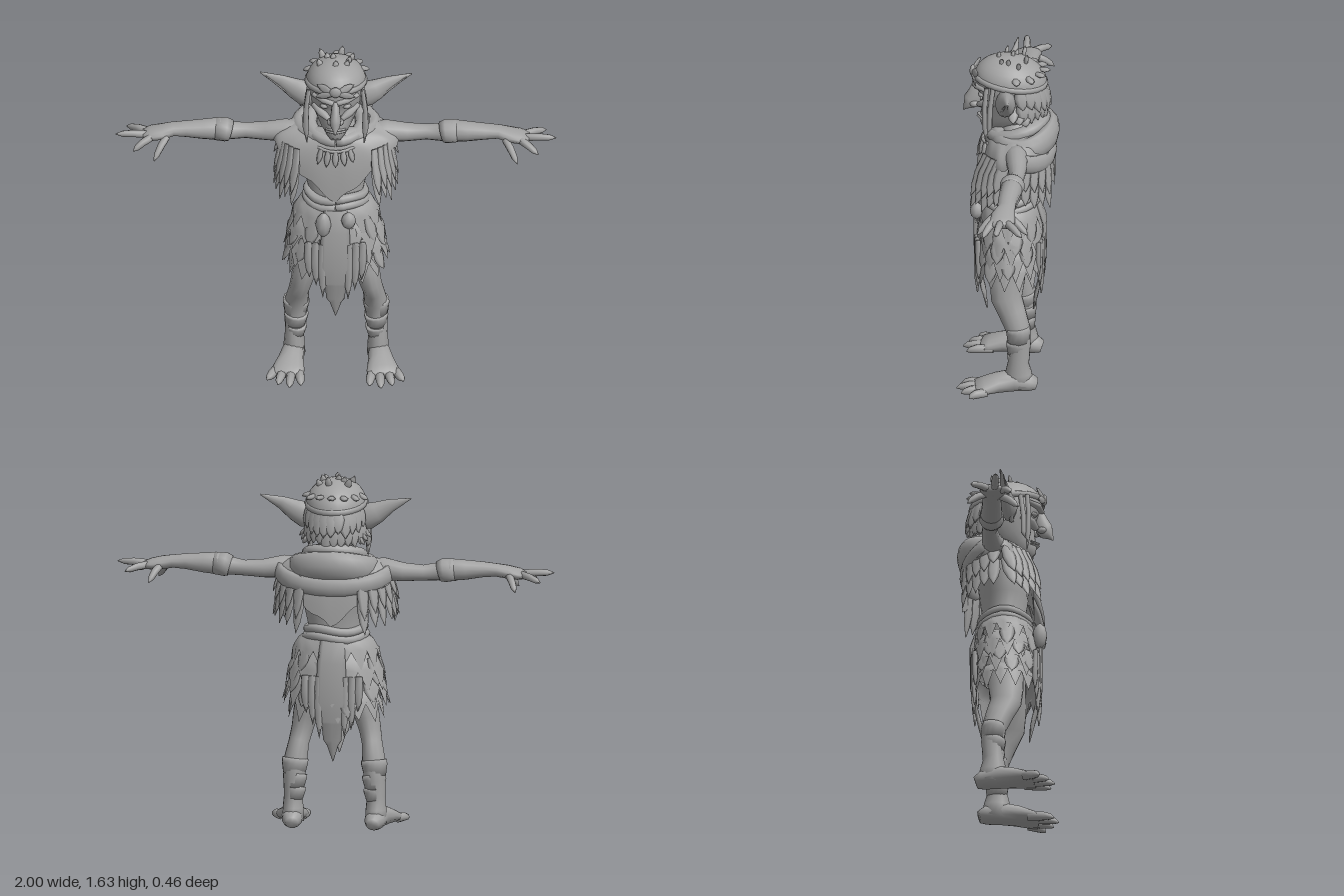
import * as THREE from 'three';
import { mergeGeometries } from 'three/addons/utils/BufferGeometryUtils.js';

const V = (x, y, z) => new THREE.Vector3(x, y, z);
const rnd = (i) => { const s = Math.sin(i * 12.9898 + 4.1) * 43758.5453; return s - Math.floor(s); };
const lerp = THREE.MathUtils.lerp;
const range = (n, f) => Array.from({ length: n }, (_, i) => f(i, n > 1 ? i / (n - 1) : 0));

function build(pos, idx) {
  const g = new THREE.BufferGeometry();
  g.setAttribute('position', new THREE.Float32BufferAttribute(pos, 3));
  g.setIndex(idx);
  g.computeVertexNormals();
  return g;
}

// Closed loft through [x, y, z, a, b]: a is the half width, b the half depth along the hint
function limb(pts, hint = V(0, 0, 1), seg = 14) {
  const P = pts.map((p) => V(p[0], p[1], p[2]));
  const pos = [], idx = [];
  const n = P.length;
  const ring = (i, k) => {
    const t = P[Math.min(i + 1, n - 1)].clone().sub(P[Math.max(i - 1, 0)]).normalize();
    const s = hint.clone().cross(t).normalize(), u = t.clone().cross(s);
    for (let j = 0; j < seg; j++) {
      const q = j / seg * Math.PI * 2;
      const v = P[i].clone().addScaledVector(s, Math.cos(q) * pts[i][3] * k).addScaledVector(u, Math.sin(q) * pts[i][4] * k);
      pos.push(v.x, v.y, v.z);
    }
  };
  ring(0, 0);
  for (let i = 0; i < n; i++) ring(i, 1);
  ring(n - 1, 0);
  for (let i = 0; i <= n; i++) for (let j = 0; j < seg; j++) {
    const a = i * seg + j, b = i * seg + (j + 1) % seg;
    idx.push(a, b, b + seg, a, b + seg, a + seg);
  }
  return build(pos, idx);
}

// Open cloth surface around the body: f(angle, v, column) gives a point
function drape(f, nu, nv) {
  const pos = [], idx = [];
  for (let i = 0; i <= nv; i++) for (let j = 0; j < nu; j++) pos.push(...f(j / nu * Math.PI * 2, i / nv, j));
  for (let i = 0; i < nv; i++) for (let j = 0; j < nu; j++) {
    const a = i * nu + j, b = i * nu + (j + 1) % nu;
    idx.push(a, a + nu, b + nu, a, b + nu, b);
  }
  return build(pos, idx);
}

// Flat pointed blade, used for feathers, hair, teeth and rags
function leaf(a, b, w, hint, thick = 0.006) {
  const at = (t, k) => [lerp(a[0], b[0], t), lerp(a[1], b[1], t), lerp(a[2], b[2], t), w * k, thick * Math.min(1, k + 0.2)];
  return limb([at(0, 0.7), at(0.45, 1), at(0.75, 0.7), at(1, 0.02)], hint, 6);
}
const ball = (x, y, z, rx, ry, rz) => limb([-0.95, -0.6, 0, 0.6, 0.95].map((k) => {
  const r = Math.sqrt(1 - k * k);
  return [x, y + k * ry, z, rx * r, rz * r];
}), V(0, 0, 1), 10);
// Closed band round a centre
const band = (f, seg = 8) => limb(range(27, (i) => f(i / 26 * Math.PI * 2)), V(0, 1, 0), seg);

export function createModel() {
  const model = new THREE.Group();
  const grey = new THREE.MeshStandardMaterial({ color: 0xa2a2a2, side: THREE.DoubleSide });
  grey.name = 'clay grey';
  const add = (name, ...geos) => {
    const m = new THREE.Mesh(mergeGeometries(geos.flat()), grey);
    m.name = name;
    model.add(m);
  };
  const both = (f) => [1, -1].flatMap(f);

  // Body
  add('torso', limb([[0, 0.7, 0, 0.14, 0.1], [0, 0.82, 0, 0.135, 0.105], [0, 0.93, -0.01, 0.125, 0.095], [0, 1.02, -0.01, 0.145, 0.11],
    [0, 1.13, -0.02, 0.175, 0.112], [0, 1.19, -0.03, 0.175, 0.095], [0, 1.235, -0.03, 0.12, 0.08], [0, 1.28, -0.01, 0.06, 0.065], [0, 1.36, 0, 0.055, 0.06]], V(0, 0, 1), 24));

  // Head and face
  add('head', limb([[0, 1.25, 0.115, 0.022, 0.025], [0, 1.268, 0.1, 0.04, 0.05], [0, 1.3, 0.072, 0.065, 0.077], [0, 1.34, 0.035, 0.09, 0.115], [0, 1.39, 0.01, 0.112, 0.143],
    [0, 1.44, 0, 0.12, 0.152], [0, 1.5, 0, 0.125, 0.165], [0, 1.55, 0, 0.11, 0.14], [0, 1.585, 0, 0.07, 0.09], [0, 1.6, 0, 0.03, 0.04]], V(0, 0, 1), 24));
  add('nose', limb([[0, 1.47, 0.148, 0.016, 0.02], [0, 1.42, 0.16, 0.02, 0.032], [0, 1.385, 0.172, 0.026, 0.04], [0, 1.36, 0.186, 0.022, 0.03], [0, 1.34, 0.206, 0.008, 0.01], [0, 1.328, 0.212, 0.002, 0.003]]),
    both((s) => [ball(s * 0.022, 1.37, 0.162, 0.017, 0.016, 0.022)]));
  add('brow', both((s) => [limb([[s * 0.008, 1.465, 0.16, 0.012, 0.016], [s * 0.05, 1.475, 0.145, 0.015, 0.02], [s * 0.1, 1.48, 0.1, 0.01, 0.014]], V(0, 0, 1), 8)]));
  add('eyes', both((s) => [ball(s * 0.05, 1.435, 0.126, 0.022, 0.012, 0.018)]));
  add('cheeks', both((s) => [limb([[s * 0.03, 1.372, 0.14, 0.012, 0.014], [s * 0.06, 1.392, 0.115, 0.02, 0.026], [s * 0.095, 1.41, 0.07, 0.014, 0.024]], V(0, 0, 1), 8)]));
  add('lips', [1.312, 1.3].map((y) => limb([[-0.045, y - 0.006, 0.115, 0.004, 0.006], [0, y, 0.142, 0.006, 0.011], [0.045, y - 0.006, 0.115, 0.004, 0.006]], V(0, 0, 1), 8)));
  add('ears', both((s) => [
    limb([[s * 0.1, 1.42, 0.012, 0.045, 0.035], [s * 0.14, 1.435, 0.012, 0.062, 0.046], [s * 0.19, 1.457, 0.006, 0.049, 0.033], [s * 0.25, 1.49, 0, 0.03, 0.018], [s * 0.345, 1.527, -0.012, 0.003, 0.003]]),
    limb([[s * 0.12, 1.372, 0.03, 0.01, 0.012], [s * 0.19, 1.42, 0.026, 0.009, 0.009], [s * 0.32, 1.515, 0, 0.003, 0.003]], V(0, 0, 1), 6)]));

  // Cap, headband and hair
  add('cap', drape((q, v) => {
    const a = v * Math.PI / 2;
    return [Math.sin(q) * 0.137 * Math.sin(a), 1.495 + 0.115 * Math.cos(a) + 0.02 * Math.cos(q) * v, -0.003 + Math.cos(q) * 0.165 * Math.sin(a)];
  }, 28, 8));
  add('headband', band((q) => [Math.sin(q) * 0.133, 1.5 + 0.022 * Math.cos(q), Math.cos(q) * 0.163, 0.01, 0.015]),
    ball(0, 1.53, 0.172, 0.028, 0.026, 0.014),
    both((s) => [leaf([s * 0.02, 1.53, 0.17], [s * 0.085, 1.555, 0.14], 0.02, V(0, 0, 1)), leaf([s * 0.02, 1.52, 0.172], [s * 0.09, 1.495, 0.15], 0.018, V(0, 0, 1))]));
  add('topTufts', range(9, (i) => {
    const x = Math.sin(i * 2.4) * 0.06, z = 0.06 - i * 0.016, y = 1.598 - 4 * x * x;
    return leaf([x, y - 0.02, z], [x * 1.4, y + 0.026 + rnd(i) * 0.012, z - 0.012], 0.016, V(0.2, 0, 1), 0.01);
  }), range(7, (i, t) => {
    const q = lerp(1.8, 4.48, t), x = Math.sin(q), z = Math.cos(q);
    return leaf([x * 0.11, 1.545, z * 0.135], [x * 0.155, 1.52 + rnd(i) * 0.03, z * 0.182], 0.02, V(0, 1, 0), 0.01);
  }));
  add('backHair', [0, 1].map((l) => range(11, (i, t) => {
    const q = lerp(1.95, Math.PI * 2 - 1.95, t + (l ? 0.03 : 0)), x = Math.sin(q), z = Math.cos(q), y = 1.5 - l * 0.06;
    const len = lerp(0.12, 0.085, Math.abs(x)) + rnd(i + l * 30) * 0.035;
    return leaf([x * 0.122, y, z * 0.148], [x * 0.145, y - len, z * (l ? 0.165 : 0.185)], 0.036, V(x, 0, z), 0.014);
  })).flat());
  add('sideLocks', both((s) => [
    ...[0, 1].map((k) => limb([[s * 0.122, 1.5, 0.1 - k * 0.03, 0.01, 0.012], [s * 0.135, 1.4, 0.108 - k * 0.025, 0.011, 0.013], [s * 0.135, 1.31, 0.105 - k * 0.02, 0.015, 0.014], [s * 0.13, 1.225 + k * 0.05, 0.1, 0.002, 0.002]], V(0, 0, 1), 6)),
    ...[0, 1, 2].map((k) => leaf([s * 0.115, 1.4 - k * 0.02, -0.02 - k * 0.025], [s * (0.165 - k * 0.012), 1.345 - k * 0.012, -0.025 - k * 0.03], 0.026, V(s, 0, 0), 0.01))]));

  // Poncho with a pointed hem front and back
  add('poncho', drape((q, v) => {
    const s = Math.sin(q), c = Math.cos(q), r = Math.sin(v * Math.PI / 2);
    const hem = (c > 0 ? 0.925 : 0.96) + Math.abs(s) * (c > 0 ? 0.25 : 0.215) + 0.01 * Math.sin(q * 13);
    const top = 1.265 - 0.03 * c;
    return [s * lerp(0.1, 0.285, r), lerp(top, hem, Math.pow(v, 1.7)), -0.025 + c * lerp(0.11, c > 0 ? 0.152 : 0.175, r)];
  }, 64, 10));
  add('cowl', band((q) => [Math.sin(q) * 0.17, 1.225 + 0.012 * Math.cos(2 * q) - 0.005 * Math.cos(q), -0.065 + Math.cos(q) * 0.12, 0.04, 0.055 - 0.012 * Math.cos(q)], 10),
    band((q) => [Math.sin(q) * 0.12, 1.265 - 0.04 * Math.cos(q), -0.035 + Math.cos(q) * 0.115, 0.033, 0.03], 10),
    limb(range(13, (i, t) => {
      const q = lerp(1.65, Math.PI * 2 - 1.65, t), c = Math.cos(q);
      return [Math.sin(q) * 0.255, 1.2 + 0.06 * c, -0.055 + c * 0.135, 0.022, 0.042];
    }), V(0, 1, 0), 10));

  // Ragged feathers hanging from the shoulders
  add('shoulderFeathers', both((s) => [0, 1].map((back) => range(10, (i) => {
    const t = (i % 5) / 4, row = i < 5 ? 0 : 1, q = back ? lerp(1.7, 2.55, t) : lerp(0.78, 1.42, t);
    const x = Math.sin(q) * s, z = Math.cos(q), rz = back ? 0.18 : 0.165;
    const y = 1.19 - row * 0.06, len = back ? 0.1 + t * 0.08 : lerp(0.18, 0.11, t);
    return leaf([x * 0.25, y, z * rz - 0.02], [x * 0.285, y - len - rnd(i + back * 20) * 0.05, z * rz * (back ? 1.15 : 1.25) + (back ? -0.02 : 0.02)], 0.03, V(x, 0, z), 0.008);
  }))).flat());
  add('necklace', band((q) => [Math.sin(q) * 0.12, 1.215 - 0.025 * Math.cos(q), -0.005 + Math.cos(q) * 0.13, 0.008, 0.008], 6),
    range(9, (i, t) => {
      const q = lerp(-1.15, 1.15, t), x = Math.sin(q), z = Math.cos(q), y = 1.215 - 0.025 * z;
      return leaf([x * 0.12, y, z * 0.13], [x * 0.15, y - 0.04 - 0.025 * z - rnd(i) * 0.015, z * 0.142], 0.015, V(x, 0, z), 0.009);
    }));

  // Arms, cuffs and clawed hands
  add('arms', both((s) => [limb([[0.15, 1.2, -0.04, 0.05, 0.05], [0.23, 1.205, -0.045, 0.052, 0.052], [0.32, 1.195, -0.055, 0.043, 0.043], [0.41, 1.195, -0.058, 0.036, 0.034],
    [0.47, 1.2, -0.048, 0.041, 0.04], [0.53, 1.21, -0.045, 0.052, 0.052], [0.6, 1.21, -0.04, 0.046, 0.047], [0.68, 1.213, -0.035, 0.036, 0.043], [0.74, 1.212, -0.035, 0.03, 0.042],
    [0.79, 1.203, -0.025, 0.03, 0.055], [0.84, 1.195, -0.025, 0.026, 0.058], [0.875, 1.19, -0.025, 0.016, 0.045]].map(([x, ...r]) => [s * x, ...r]))]));
  add('cuffs', both((s) => [limb([[s * 0.478, 1.2, -0.045, 0.048, 0.05], [s * 0.5, 1.206, -0.045, 0.055, 0.057], [s * 0.55, 1.21, -0.043, 0.052, 0.052]])]));
  const fingers = [[0.77, 0.01, 0.825, 1.115, 0.092], [0.84, 0.015, 0.92, 1.148, 0.062], [0.86, -0.015, 1, 1.2, -0.004], [0.86, -0.05, 0.952, 1.175, -0.12], [0.8, -0.06, 0.84, 1.13, -0.14]];
  add('fingers', both((s) => fingers.map(([x, z, tx, ty, tz]) => limb([[s * x, 1.195, z, 0.018, 0.018],
    [s * lerp(x, tx, 0.45), lerp(1.2, ty, 0.4), lerp(z, tz, 0.45), 0.017, 0.017], [s * lerp(x, tx, 0.78), lerp(1.2, ty, 0.75), lerp(z, tz, 0.78), 0.014, 0.014], [s * tx, ty, tz, 0.002, 0.002]], V(0, 1, 0), 8))));

  // Belt, pouches and layered skirt
  add('belt', [0.888, 0.922].map((y, k) => band((q) => [Math.sin(q) * (0.134 - k * 0.006), y + 0.008 * Math.sin(3 * q), Math.cos(q) * (0.114 - k * 0.006) - 0.005, 0.022, 0.02])));
  add('pouches', ball(0.06, 0.845, 0.15, 0.034, 0.04, 0.03), ball(-0.055, 0.825, 0.155, 0.036, 0.06, 0.034));
  [[0.91, 0.8, 0.125, 0.2], [0.82, 0.71, 0.155, 0.222], [0.735, 0.63, 0.165, 0.23], [0.65, 0.565, 0.165, 0.212]].forEach(([top, low, r0, r1], k) => {
    add('skirtTier', drape((q, v, j) => {
      const tooth = v === 1 ? (j % 2 ? -0.05 - rnd(j + k * 50) * 0.02 : 0.03) : 0;
      const r = lerp(r0, r1, Math.sqrt(v)) + (j % 2 ? 0.012 * v : 0);
      return [Math.sin(q + k * 0.12) * r, lerp(top, low, v) + tooth, Math.cos(q + k * 0.12) * (0.042 + r * 0.5) - 0.003];
    }, 28, 3));
  });
  add('skirtLeaves', range(26, (i) => {
    const q = i * 2.39996, x = Math.sin(q), z = Math.cos(q), y = 0.85 - (i / 26) * 0.2, r = 0.178 + (0.85 - y) * 0.15;
    return leaf([x * r, y, z * (0.045 + r * 0.5)], [x * (r + 0.045), y - 0.1 - rnd(i) * 0.03, z * (0.06 + r * 0.5)], 0.036, V(x, 0, z));
  }));

  // Loincloth front and back, with hanging rags
  add('loincloths', [1, -1].map((d) => limb([[0, 0.88, d * 0.125, 0.055, 0.01], [0, 0.78, d * 0.157, 0.065, 0.01], [0, 0.6, d * 0.155, 0.073, 0.01], [0, 0.51, d * 0.142, 0.068, 0.01],
    [0, 0.5, d * 0.141, 0.048, 0.01], [0, 0.42, d * 0.122, 0.042, 0.01], [0, 0.395, d * 0.117, 0.026, 0.01], [0, 0.32, d * 0.105, 0.002, 0.003]], V(0, 0, 1), 8)));
  add('rags', [1, -1].map((d) => both((s) => [0, 1, 2].map((k) => {
    const x = s * (0.06 + k * 0.032), end = 0.4 + k * 0.06 + rnd(k + d + s * 3) * 0.04;
    return leaf([x, 0.72, d * (0.15 - k * 0.006)], [x * 0.95, end, d * (0.145 - k * 0.005)], 0.022, V(0, 0, d), 0.014);
  }))).flat());

  // Legs, shin wraps and broad bare feet
  add('legs', both((s) => [limb([[0.085, 0.8, 0, 0.075, 0.09], [0.11, 0.62, 0, 0.07, 0.085], [0.14, 0.52, 0.005, 0.058, 0.08], [0.155, 0.45, 0.005, 0.05, 0.072], [0.168, 0.39, -0.02, 0.047, 0.064], [0.18, 0.31, -0.048, 0.054, 0.056],
    [0.185, 0.23, -0.055, 0.05, 0.052], [0.19, 0.15, -0.05, 0.042, 0.047], [0.19, 0.09, -0.05, 0.048, 0.062], [0.19, 0.03, -0.06, 0.05, 0.065]].map(([x, ...r]) => [s * x, ...r]))]));
  add('shinWraps', both((s) => [[0.32, 0.25, 0.06, 0.056], [0.25, 0.19, 0.055, 0.056], [0.19, 0.135, 0.049, 0.052]].map(([top, low, a, b]) =>
    limb([[s * 0.18, top, -0.048, a, b], [s * 0.182, lerp(top, low, 0.3), -0.051, a, b], [s * 0.185, low, -0.052, a - 0.009, b - 0.005]]))));
  add('feet', both((s) => [limb([[0.185, 0.035, -0.132, 0.03, 0.028], [0.188, 0.045, -0.1, 0.046, 0.043], [0.195, 0.055, -0.03, 0.05, 0.053], [0.205, 0.047, 0.04, 0.06, 0.045], [0.215, 0.034, 0.1, 0.075, 0.032], [0.22, 0.025, 0.14, 0.075, 0.022]].map(([x, ...r]) => [s * x, ...r]), V(0, 1, 0))]));
  const toes = [[0.165, 0.155, 0.21], [0.2, 0.208, 0.23], [0.238, 0.26, 0.205], [0.27, 0.31, 0.165]];
  add('toes', both((s) => toes.map(([x, tx, tz]) => limb([[s * x, 0.026, 0.09, 0.02, 0.022], [s * lerp(x, tx, 0.5), 0.024, lerp(0.09, tz, 0.6), 0.021, 0.021], [s * lerp(x, tx, 0.8), 0.019, lerp(0.09, tz, 0.85), 0.016, 0.015], [s * tx, 0.012, tz, 0.003, 0.003]], V(0, 1, 0), 8))));
  return model;
}
